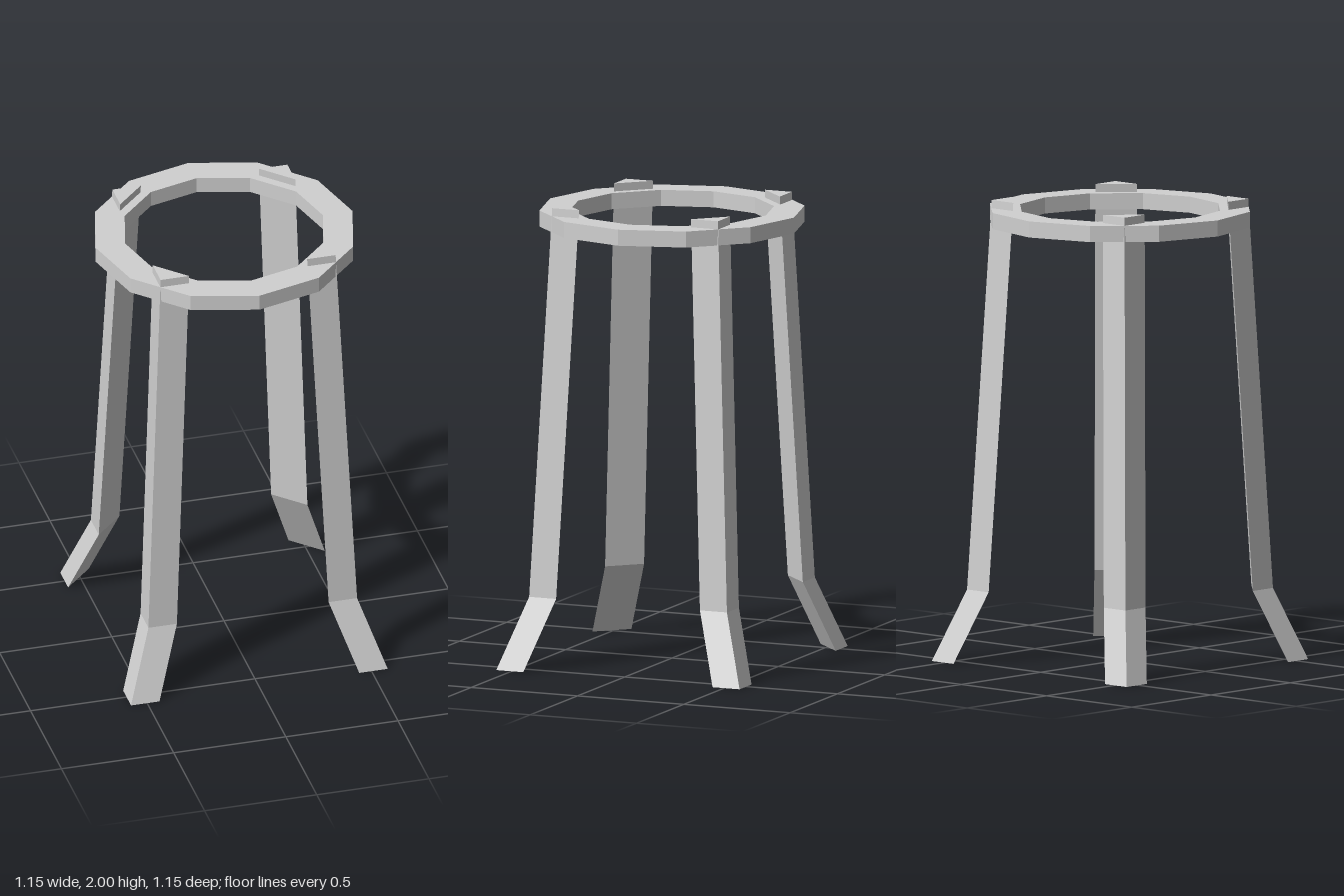
import * as THREE from 'three';

const TOP = 0.39, KNEE = 0.465, FOOT = 0.572; // outer corner of the leg, as x = z
const SIDE = 0.127; // short side of the triangular leg section

// Twelve-sided outline with a corner on each axis
function ringPoints(radius) {
  return Array.from({ length: 12 }, (_, i) => {
    const a = (i * Math.PI) / 6;
    return new THREE.Vector2(radius * Math.cos(a), radius * Math.sin(a));
  });
}

// Flat ring with a polygonal opening
function ringGeometry() {
  const shape = new THREE.Shape(ringPoints(0.573));
  shape.holes.push(new THREE.Path(ringPoints(0.441)));
  const geo = new THREE.ExtrudeGeometry(shape, { depth: 0.07, bevelEnabled: false });
  return geo.rotateX(-Math.PI / 2).translate(0, 1.895, 0);
}

// Triangular bar lofted through foot, knee and top sections
function legGeometry() {
  const levels = [[0, FOOT], [0.31, KNEE], [2, TOP]].map(([y, a]) => [
    [a, y, a], [a, y, a - SIDE], [a - SIDE, y, a],
  ]);
  const pos = [];
  const tri = (...corners) => corners.forEach((c) => pos.push(...c));
  const [foot, , top] = levels;
  tri(foot[0], foot[2], foot[1]);
  tri(top[0], top[1], top[2]);
  for (let k = 0; k < 2; k++) {
    const lo = levels[k], hi = levels[k + 1];
    for (let i = 0; i < 3; i++) {
      const j = (i + 1) % 3;
      tri(lo[i], lo[j], hi[j]);
      tri(lo[i], hi[j], hi[i]);
    }
  }
  const geo = new THREE.BufferGeometry();
  geo.setAttribute('position', new THREE.Float32BufferAttribute(pos, 3));
  geo.computeVertexNormals();
  return geo;
}

export function createModel() {
  const model = new THREE.Group();
  model.name = 'ringStand';
  const grey = new THREE.MeshStandardMaterial({ color: 0xd0d0d0 });
  grey.name = 'light grey';

  const ring = new THREE.Mesh(ringGeometry(), grey);
  ring.name = 'topRing';
  model.add(ring);

  // One leg per corner, turned about the upright axis
  const leg = legGeometry();
  ['frontLeftLeg', 'backLeftLeg', 'backRightLeg', 'frontRightLeg'].forEach((name, i) => {
    const mesh = new THREE.Mesh(leg, grey);
    mesh.name = name;
    mesh.rotation.y = (i * Math.PI) / 2;
    model.add(mesh);
  });
  return model;
}
